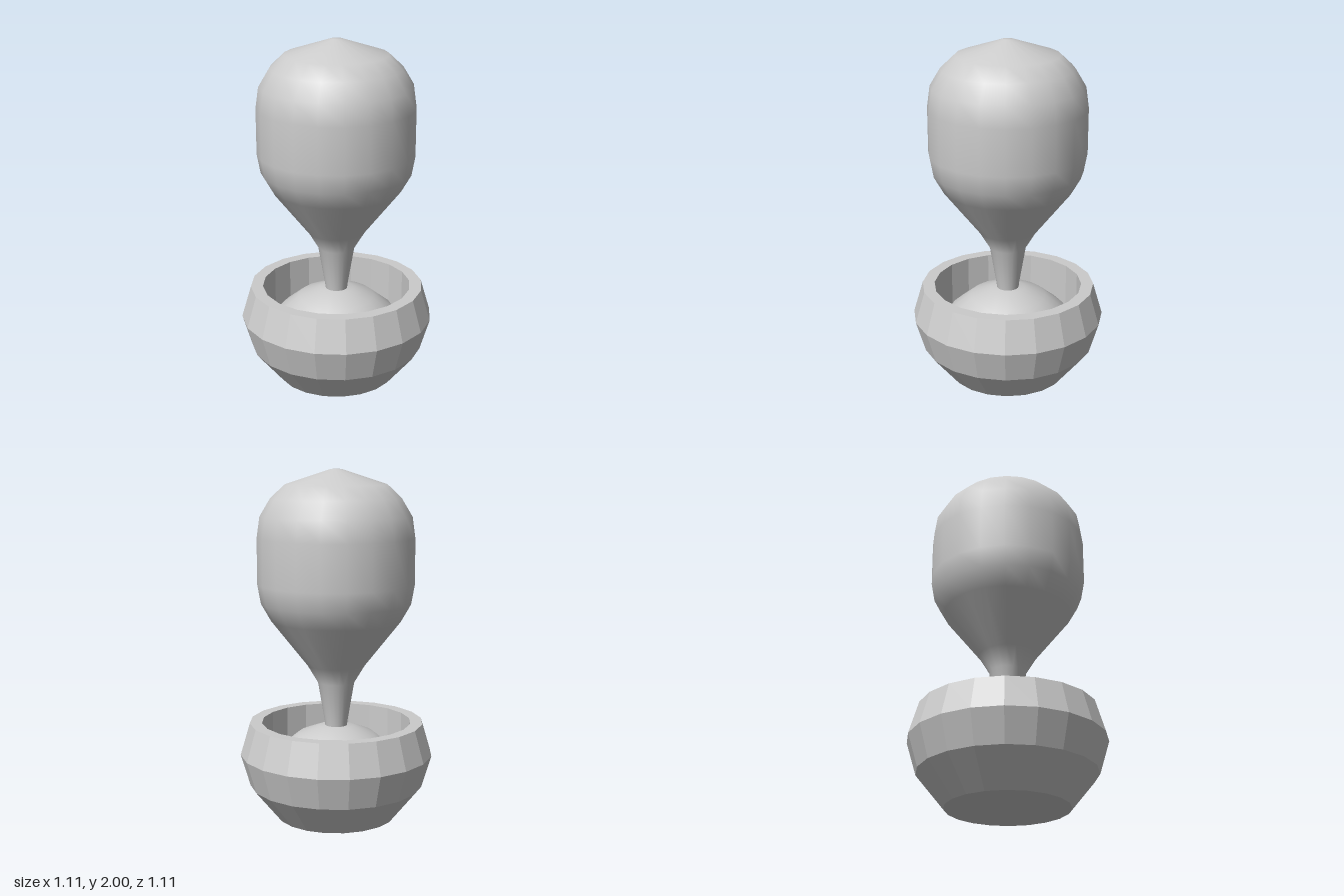
import * as THREE from 'three';

const SIDES = 20;

// Revolve a [radius, height] profile around the y axis
function turned(name, profile, flatShading) {
  const points = profile.map(([r, y]) => new THREE.Vector2(r, y));
  const material = new THREE.MeshStandardMaterial({ color: 0xcccccc, flatShading });
  const mesh = new THREE.Mesh(new THREE.LatheGeometry(points, SIDES), material);
  mesh.name = name;
  return mesh;
}

export function createModel() {
  const group = new THREE.Group();
  group.name = 'pottedTree';

  // Faceted bowl: base, bulging outer wall, rim and inner wall
  group.add(turned('pot', [
    [0, 0], [0.345, 0], [0.5, 0.19], [0.555, 0.375], [0.5, 0.56],
    [0.43, 0.56], [0.43, 0.22],
  ], true));

  // Rounded mound of soil inside the bowl
  group.add(turned('soil', [
    [0.435, 0.22], [0.4, 0.3], [0.34, 0.39], [0.22, 0.487], [0.1, 0.533], [0, 0.545],
  ], false));

  // Thin trunk flaring smoothly into the rounded crown
  group.add(turned('trunkAndCrown', [
    [0.06, 0.5], [0.066, 0.56], [0.105, 0.79], [0.165, 0.89], [0.37, 1.15],
    [0.427, 1.25], [0.447, 1.36], [0.447, 1.62], [0.43, 1.74], [0.37, 1.84],
    [0.29, 1.915], [0.03, 2], [0, 2],
  ], false));

  return group;
}
